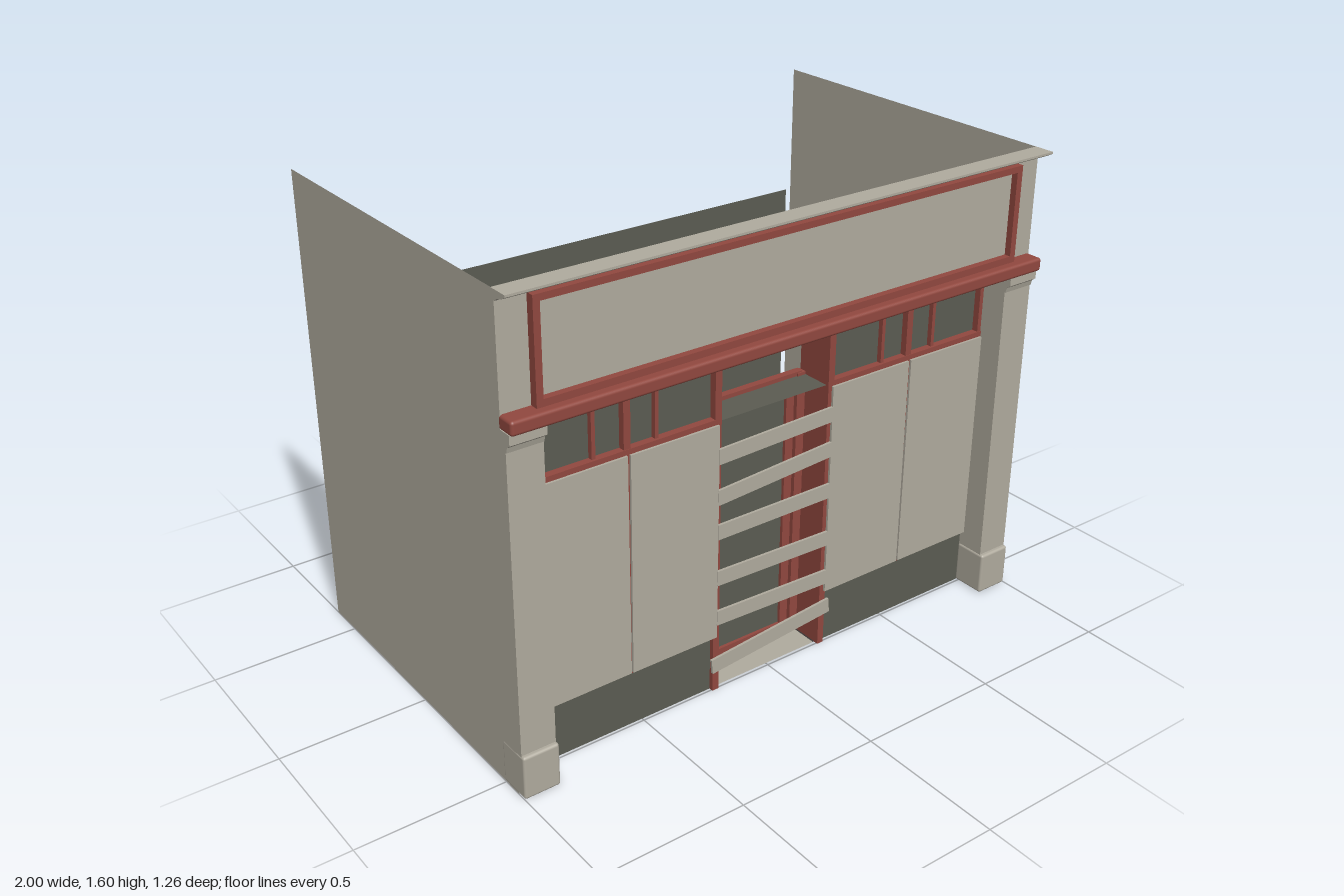
import * as THREE from 'three';
import { RoundedBoxGeometry } from 'three/addons/geometries/RoundedBoxGeometry.js';

const mat = (name, color, side = THREE.FrontSide) => {
  const m = new THREE.MeshStandardMaterial({ color, side });
  m.name = name;
  return m;
};

export function createModel() {
  const stone = mat('stone', 0xb0ab9e, THREE.DoubleSide);
  const red = mat('redPaint', 0x91483f);
  const green = mat('darkGreenGrey', 0x5b5c52, THREE.DoubleSide);
  const dark = mat('darkFloor', 0x3b3534, THREE.DoubleSide);

  const root = new THREE.Group();
  root.name = 'shopFront';

  const add = (name, geo, material, parent = root) => {
    const m = new THREE.Mesh(geo, material);
    m.name = name;
    parent.add(m);
    return m;
  };
  // Box given by its minimum and maximum on each axis
  const box = (name, material, x0, x1, y0, y1, z0, z1, parent = root) => {
    const m = add(name, new THREE.BoxGeometry(x1 - x0, y1 - y0, z1 - z0), material, parent);
    m.position.set((x0 + x1) / 2, (y0 + y1) / 2, (z0 + z1) / 2);
    return m;
  };
  // Same box on the left and right side
  const pair = (name, material, x0, x1, y0, y1, z0, z1) => {
    box(name + 'Left', material, x0, x1, y0, y1, z0, z1);
    box(name + 'Right', material, -x1, -x0, y0, y1, z0, z1);
  };
  // Upright sheet facing +z
  const sheet = (name, material, x0, x1, y0, y1, z) => {
    const m = add(name, new THREE.PlaneGeometry(x1 - x0, y1 - y0), material);
    m.position.set((x0 + x1) / 2, (y0 + y1) / 2, z);
    return m;
  };
  // Level sheet facing up
  const level = (name, material, x0, x1, z0, z1, y) => {
    const m = add(name, new THREE.PlaneGeometry(x1 - x0, z1 - z0), material);
    m.rotation.x = -Math.PI / 2;
    m.position.set((x0 + x1) / 2, y, (z0 + z1) / 2);
    return m;
  };
  // Moulding: a [z, y] profile swept along x
  const moulding = (name, material, pts, x0, x1) => {
    const shape = new THREE.Shape(pts.map(([z, y]) => new THREE.Vector2(-z, y)));
    const geo = new THREE.ExtrudeGeometry(shape, { depth: x1 - x0, bevelEnabled: false });
    geo.rotateY(Math.PI / 2);
    const m = add(name, geo, material);
    m.position.x = x0;
    return m;
  };

  // Shell: side walls, back wall and floor
  for (const s of [-1, 1]) {
    const wall = add(s > 0 ? 'sideWallLeft' : 'sideWallRight', new THREE.PlaneGeometry(1.2, 1.6), stone);
    wall.rotation.y = s * Math.PI / 2;
    wall.position.set(s * 0.999, 0.8, -0.03);
  }
  sheet('backWall', green, -0.88, 0.88, 0, 1.19, -0.515);
  level('floor', dark, -0.88, 0.88, -0.515, 0.49, 0.002);
  level('entryFloor', stone, -0.2, 0.2, 0.375, 0.495, 0.006);

  // Pilasters with rounded bases and stepped capitals
  for (const s of [-1, 1]) {
    const side = s > 0 ? 'Left' : 'Right';
    const [a, b] = s > 0 ? [0.88, 0.998] : [-0.998, -0.88];
    box('pilaster' + side, stone, a, b, 0.01, 1.17, 0.49, 0.592);
    const base = add('pilasterBase' + side, new RoundedBoxGeometry(0.124, 0.15, 0.12, 2, 0.009), stone);
    base.position.set(s * 0.938, 0.075, 0.547);
    moulding('capital' + side, stone,
      [[0.49, 1.14], [0.595, 1.14], [0.6, 1.158], [0.613, 1.168], [0.613, 1.2], [0.49, 1.2]], a, b);
  }

  // Fascia: cornice, sign panel in a red frame, red ledge and soffit
  moulding('cornice', stone,
    [[0.56, 1.568], [0.578, 1.568], [0.588, 1.577], [0.61, 1.582], [0.63, 1.593], [0.63, 1.6], [0.56, 1.6]], -1, 1);
  pair('fasciaEnd', stone, 0.9, 0.999, 1.23, 1.57, 0.562, 0.572);
  sheet('signFront', stone, -0.89, 0.89, 1.25, 1.56, 0.577);
  sheet('signBack', green, -0.89, 0.89, 1.25, 1.56, 0.569);
  pair('signFrameSide', red, 0.88, 0.902, 1.24, 1.567, 0.56, 0.6);
  box('signFrameTop', red, -0.88, 0.88, 1.546, 1.567, 0.56, 0.6);
  box('signFrameBottom', red, -0.88, 0.88, 1.24, 1.267, 0.56, 0.6);
  const ledge = add('ledge', new RoundedBoxGeometry(2, 0.045, 0.068, 3, 0.01), red);
  ledge.position.set(0, 1.222, 0.596);
  box('soffit', stone, -0.88, 0.88, 1.182, 1.2, 0.51, 0.575);

  // Window framing
  box('headRail', red, -0.885, 0.885, 1.172, 1.19, 0.45, 0.51);
  pair('transomRail', red, 0.225, 0.88, 0.956, 0.974, 0.462, 0.505);
  pair('sill', red, 0.225, 0.88, 0.196, 0.212, 0.46, 0.5);
  pair('windowEndPost', red, 0.864, 0.879, 0.2, 1.175, 0.46, 0.503);
  pair('windowMullion', red, 0.538, 0.562, 0.2, 1.175, 0.46, 0.503);
  pair('transomBarOuter', red, 0.655, 0.668, 0.965, 1.175, 0.465, 0.497);
  pair('transomBarInner', red, 0.435, 0.448, 0.965, 1.175, 0.465, 0.497);

  // Glass, stall risers and plywood over the windows
  for (const s of [-1, 1]) {
    const side = s > 0 ? 'Left' : 'Right';
    const span = (a, b) => (s > 0 ? [a, b] : [-b, -a]);
    sheet('windowGlass' + side, green, ...span(0.225, 0.87), 0.205, 1.175, 0.48);
    sheet('stallRiser' + side, green, ...span(0.225, 0.88), 0, 0.2, 0.49);
    [[0.224, 0.546, 0.002], [0.554, 0.874, -0.003]].forEach(([a, b, tilt], i) => {
      const ply = box(`plywood${side}${i + 1}`, stone, ...span(a, b), 0.207, 0.957, 0.506, 0.514);
      ply.rotation.z = tilt * s;
    });
  }

  // Recessed entrance: side posts, ceiling and door
  pair('entryPost', red, 0.21, 0.234, 0, 1.18, 0.37, 0.505);
  pair('doorJamb', red, 0.178, 0.211, 0, 0.97, 0.365, 0.395);
  box('doorHead', red, -0.2, 0.2, 0.952, 0.974, 0.365, 0.39);
  level('entryCeiling', green, -0.21, 0.21, 0.385, 0.495, 0.96);
  pair('doorStile', red, 0.143, 0.174, 0.006, 0.948, 0.367, 0.385);
  box('doorTopRail', red, -0.143, 0.143, 0.912, 0.948, 0.367, 0.385);
  box('doorBottomRail', red, -0.143, 0.143, 0.006, 0.045, 0.367, 0.385);
  sheet('doorGlass', green, -0.18, 0.18, 0.01, 0.95, 0.374);

  // Crooked planks nailed across the entrance: [left y, right y, half length]
  [[0.85, 0.862, 0.226], [0.71, 0.738, 0.226], [0.589, 0.588, 0.226],
    [0.424, 0.411, 0.226], [0.278, 0.264, 0.226], [0.1, 0.148, 0.245]].forEach(([l, r, h], i) => {
    const plank = box(`plank${i + 1}`, stone, -h, h, (l + r) / 2 - 0.026, (l + r) / 2 + 0.026, 0.507, 0.516);
    plank.rotation.z = Math.atan2(r - l, 2 * h);
  });

  return root;
}
